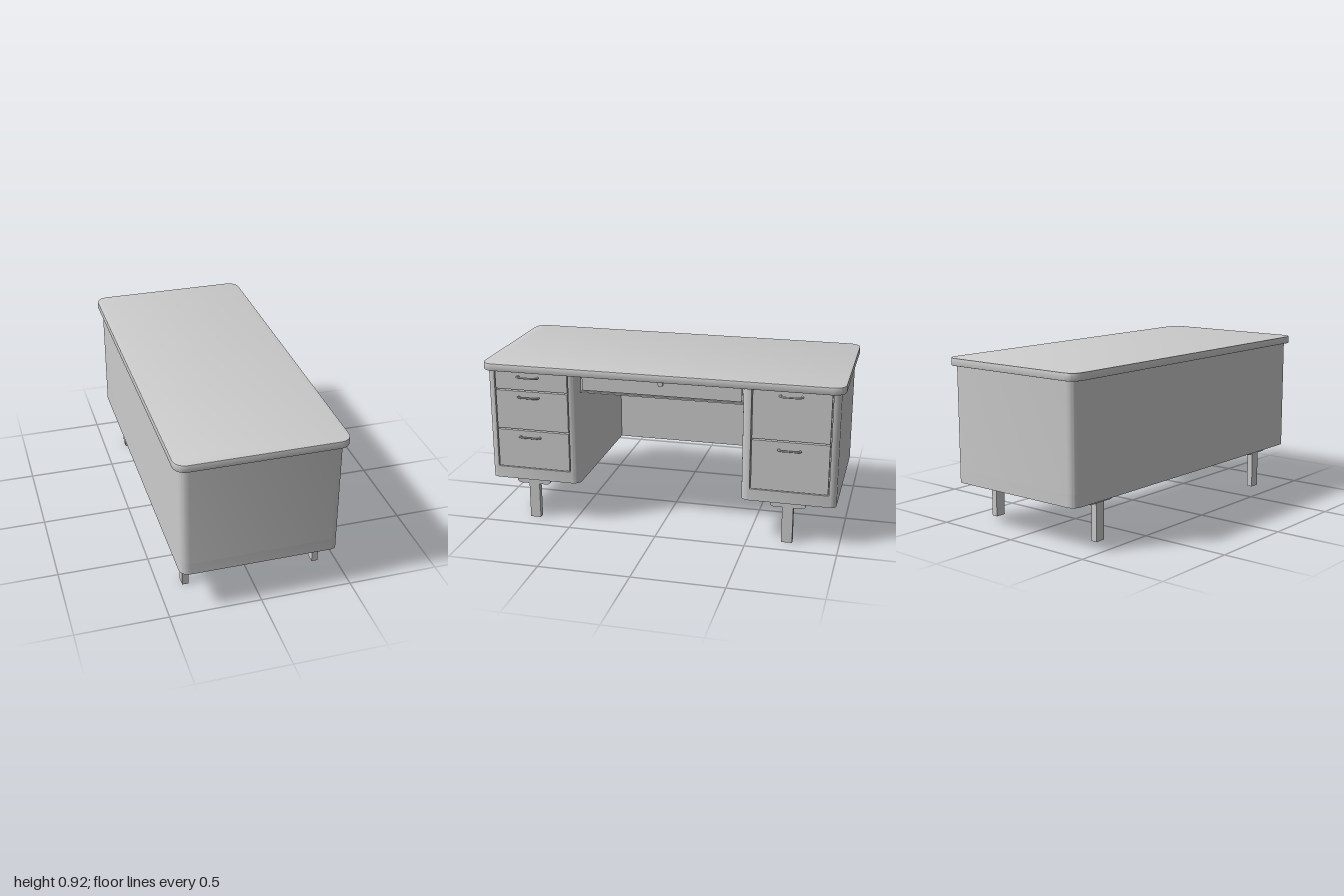
import * as THREE from 'three';
import { toCreasedNormals } from 'three/addons/utils/BufferGeometryUtils.js';

const mat = new THREE.MeshStandardMaterial({ color: 0xcccccc });

function add(parent, geo, name, x = 0, y = 0, z = 0) {
  const m = new THREE.Mesh(geo, mat);
  m.name = name;
  m.position.set(x, y, z);
  parent.add(m);
  return m;
}

const box = (parent, name, x0, x1, y0, y1, z0, z1) =>
  add(parent, new THREE.BoxGeometry(x1 - x0, y1 - y0, Math.abs(z1 - z0)), name,
    (x0 + x1) / 2, (y0 + y1) / 2, (z0 + z1) / 2);

// Plan outline from [x, z, cornerRadius] points, raised from y0 to y1
function plan(points, y0, y1, bevel = 0) {
  const pts = points.map(([x, z, r = 0]) => ({ v: new THREE.Vector2(x, -z), r }));
  const s = new THREE.Shape();
  const n = pts.length;
  pts.forEach(({ v, r }, i) => {
    const toward = (q) => q.clone().sub(v).setLength(r).add(v);
    const a = toward(pts[(i + n - 1) % n].v), b = toward(pts[(i + 1) % n].v);
    if (i === 0) s.moveTo(a.x, a.y); else s.lineTo(a.x, a.y);
    if (r > 0) s.quadraticCurveTo(v.x + (a.x + b.x - 2 * v.x) * 0.08, v.y + (a.y + b.y - 2 * v.y) * 0.08, b.x, b.y);
  });
  s.closePath();
  const g = new THREE.ExtrudeGeometry(s, {
    depth: y1 - y0 - 2 * bevel, curveSegments: 10, bevelEnabled: bevel > 0,
    bevelSize: bevel, bevelOffset: -bevel, bevelThickness: bevel, bevelSegments: 2,
  });
  g.translate(0, 0, bevel).rotateX(-Math.PI / 2).translate(0, y0, 0);
  return toCreasedNormals(g, 0.6);
}

const BACK = -0.43, FRONT = 0.42, BOTTOM = 0.236, TOP = 0.874;

// Bowed pull standing off a drawer front
function handle(parent, y, z, reach) {
  const w = 0.066;
  const path = new THREE.CatmullRomCurve3([
    [FRONT - 0.006, -w + 0.012], [FRONT + reach * 0.6, -w + 0.006], [FRONT + reach, -w + 0.022],
    [FRONT + reach, 0], [FRONT + reach, w - 0.022], [FRONT + reach * 0.6, w - 0.006], [FRONT - 0.006, w - 0.012],
  ].map(([x, dz]) => new THREE.Vector3(x, 0, dz)));
  add(parent, new THREE.TubeGeometry(path, 36, 0.005, 8), 'drawerHandle', 0, y, z);
}

function pedestal(side, name, centre, splits, handles) {
  const g = new THREE.Group();
  g.name = name;
  const zi = 0.458 * side, zo = 0.977 * side, d0 = 0.508 * side, d1 = 0.937 * side;

  // Cabinet: solid base band, then walls with a shallow opening for the drawers
  const outer = [[FRONT, zi, 0.045], [BACK, zi], [BACK, zo, 0.05], [FRONT, zo, 0.035]];
  const notch = [[FRONT, d1], [FRONT - 0.025, d1], [FRONT - 0.025, d0], [FRONT, d0]];
  add(g, plan(outer, BOTTOM, 0.303), 'cabinetBase');
  add(g, plan([...outer, ...notch], 0.303, TOP), 'cabinetWalls');

  // Drawer fronts separated by narrow gaps
  const levels = [0.303, ...splits, TOP], gap = 0.004;
  for (let i = 0; i < levels.length - 1; i++) {
    box(g, 'drawerFront', FRONT - 0.03, FRONT - 0.001, levels[i] + gap, levels[i + 1] - gap,
      d0 + side * gap * 1.5, d1 - side * gap * 1.5);
  }
  handles.forEach((y, i) => handle(g, y, centre, i === 0 ? 0.029 : 0.021));

  // Legs with chamfered mounting pads
  for (const x of [-0.354, 0.385]) {
    const leg = new THREE.Group();
    leg.name = 'leg';
    leg.position.set(x, 0, centre - 0.002 * side);
    box(leg, 'legPost', -0.017, 0.017, 0, 0.215, -0.03, 0.03);
    const s = new THREE.Shape();
    s.moveTo(-0.097, BOTTOM + 0.001);
    s.lineTo(-0.097, 0.222);
    s.quadraticCurveTo(-0.094, 0.21, -0.075, 0.208);
    s.lineTo(0.075, 0.208);
    s.quadraticCurveTo(0.094, 0.21, 0.097, 0.222);
    s.lineTo(0.097, BOTTOM + 0.001);
    s.closePath();
    const pad = new THREE.ExtrudeGeometry(s, { depth: 0.044, bevelEnabled: false, curveSegments: 5 });
    pad.translate(0, 0, -0.022).rotateY(Math.PI / 2);
    add(leg, toCreasedNormals(pad, 0.6), 'legPad');
    g.add(leg);
  }
  return g;
}

export function createModel() {
  const desk = new THREE.Group();
  desk.name = 'desk';

  // Worktop with rounded corners
  add(desk, plan([[0.456, -1, 0.065], [-0.456, -1, 0.065], [-0.456, 1, 0.065], [0.456, 1, 0.065]],
    TOP, 0.915, 0.003), 'worktop');

  desk.add(pedestal(1, 'leftPedestal', 0.737, [0.531, 0.761], [0.843, 0.726, 0.493]));
  desk.add(pedestal(-1, 'rightPedestal', -0.719, [0.59], [0.843, 0.543]));

  // Panel closing the far side of the knee space
  box(desk, 'modestyPanel', BACK, BACK + 0.016, BOTTOM, TOP, -0.46, 0.46);

  // Pencil drawer across the knee space, with rail and lock
  const centre = new THREE.Group();
  centre.name = 'centreDrawer';
  box(centre, 'drawerBody', -0.29, 0.35, 0.757, TOP, -0.459, 0.459);
  box(centre, 'drawerRail', 0.34, 0.362, 0.757, 0.765, -0.459, 0.459);
  box(centre, 'drawerPanel', 0.34, 0.362, 0.772, 0.87, -0.446, 0.446);
  const lock = new THREE.CylinderGeometry(0.014, 0.016, 0.014, 20).rotateZ(-Math.PI / 2);
  add(centre, lock, 'drawerLock', 0.367, 0.84, 0);
  desk.add(centre);

  return desk;
}
